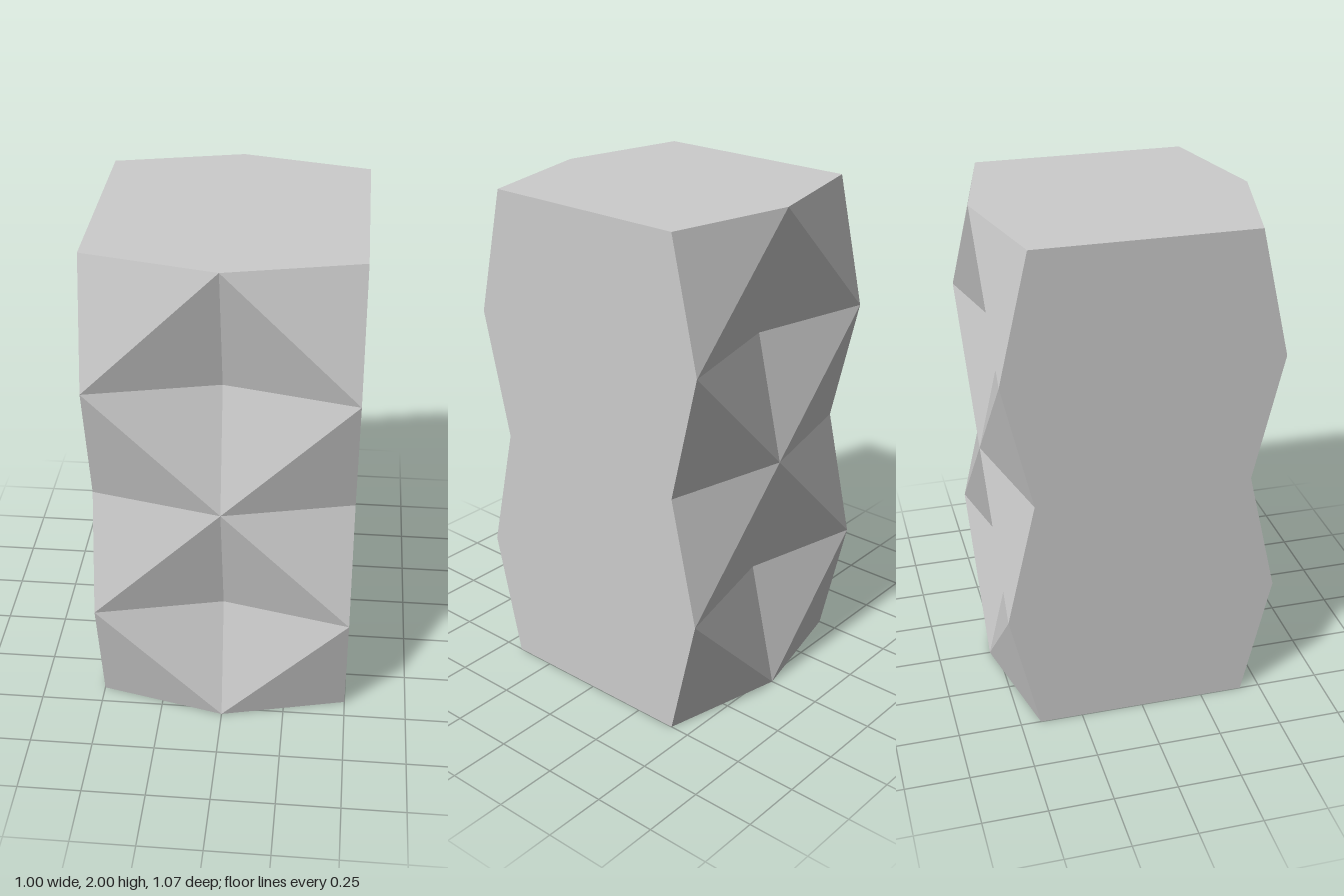
import * as THREE from 'three';

const NEAR = 0.42, FAR = 0.535, STEP = 0.5, ROWS = 4;

// Cross-section corners, counterclockwise seen from above: x and z side
const CORNERS = [[-0.5, 1], [0, 1], [0.5, 1], [0.5, -1], [0, -1], [-0.5, -1]];

// Peaks alternate between the centre line and the outer edges, row by row
const isPeak = (row, i) => (CORNERS[i][0] === 0) === (row % 2 === 0);

function corner(row, i) {
  const [x, side] = CORNERS[i];
  return [x, row * STEP, side * (isPeak(row, i) ? FAR : NEAR)];
}

function meshFrom(name, triangles, material) {
  const geometry = new THREE.BufferGeometry();
  geometry.setAttribute('position', new THREE.Float32BufferAttribute(triangles.flat(2), 3));
  geometry.computeVertexNormals();
  const mesh = new THREE.Mesh(geometry, material);
  mesh.name = name;
  return mesh;
}

export function createModel() {
  const group = new THREE.Group();
  group.name = 'facetedBlock';
  const material = new THREE.MeshStandardMaterial({ color: 0xcccccc, flatShading: true });

  // Walls: each panel folds outward along the diagonal joining its two peaks
  const walls = [];
  for (let row = 0; row < ROWS; row++) {
    for (let i = 0; i < 6; i++) {
      const j = (i + 1) % 6;
      const a = corner(row, i), b = corner(row, j);
      const c = corner(row + 1, j), d = corner(row + 1, i);
      if (isPeak(row, i)) walls.push([a, b, c], [a, c, d]);
      else walls.push([a, b, d], [b, c, d]);
    }
  }
  group.add(meshFrom('foldedWalls', walls, material));

  // Flat hexagonal ends
  const top = [], bottom = [];
  for (let k = 1; k < 5; k++) {
    top.push([corner(ROWS, 0), corner(ROWS, k), corner(ROWS, k + 1)]);
    bottom.push([corner(0, 0), corner(0, k + 1), corner(0, k)]);
  }
  group.add(meshFrom('topFace', top, material), meshFrom('bottomFace', bottom, material));
  return group;
}
